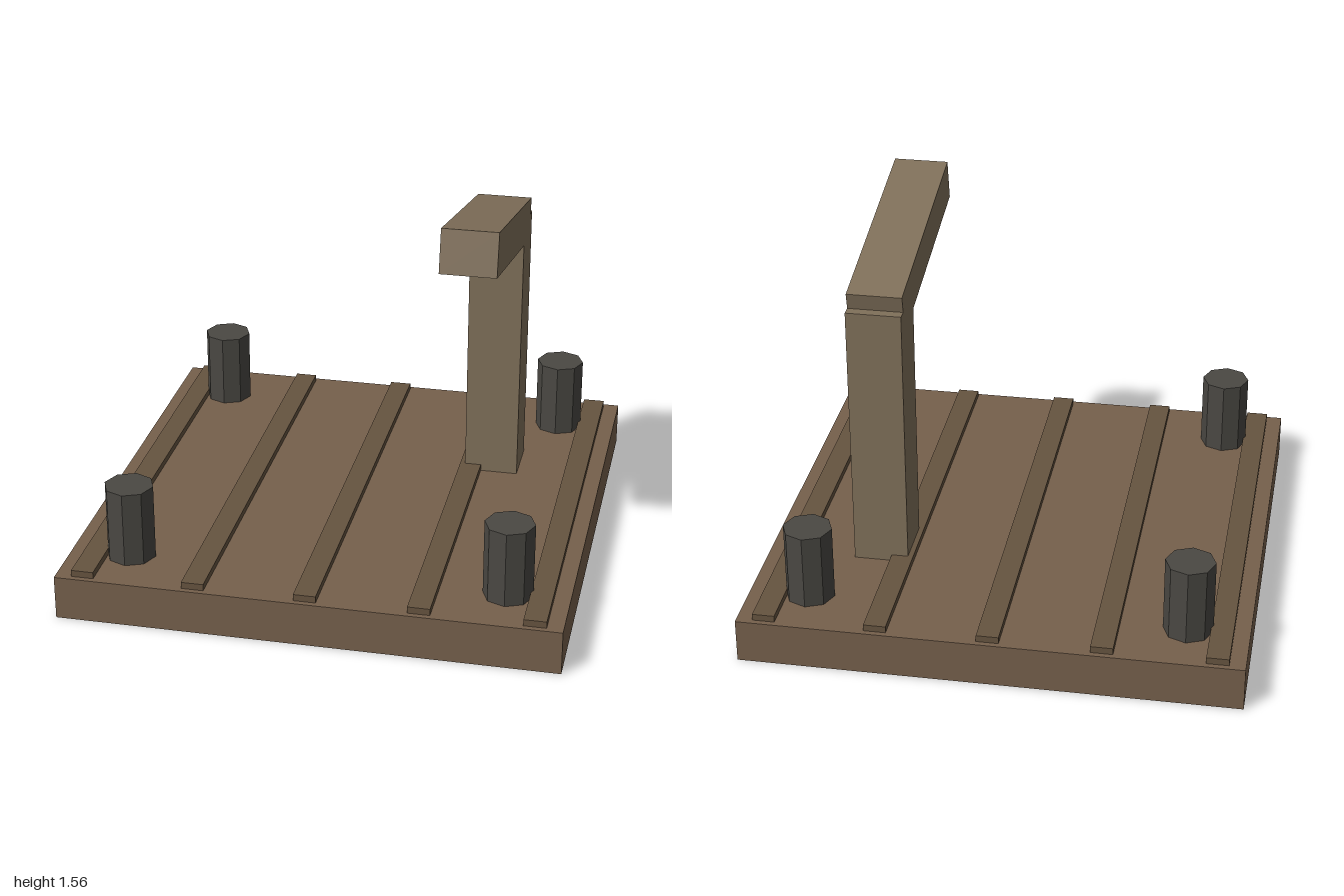
import * as THREE from 'three';

const mat = (color) => new THREE.MeshStandardMaterial({ color, flatShading: true });

export function createModel() {
  const model = new THREE.Group();
  const deckMat = mat(0x76604c);
  const slatMat = mat(0x665440);
  const timberMat = mat(0x80705a);
  const bollardMat = mat(0x4a4843);

  const add = (name, geometry, material, x, y, z) => {
    const mesh = new THREE.Mesh(geometry, material);
    mesh.name = name;
    mesh.position.set(x, y, z);
    model.add(mesh);
    return mesh;
  };

  // Square deck
  add('deck', new THREE.BoxGeometry(2, 0.18, 2), deckMat, 0, 0.09, 0);

  // Raised slats running front to back
  const slatGeo = new THREE.BoxGeometry(0.089, 0.04, 1.956);
  for (let i = -2; i <= 2; i++) {
    add('slat', slatGeo, slatMat, i * 0.4455, 0.187, 0);
  }

  // Eight-sided bollards at the corners
  const bollardGeo = new THREE.CylinderGeometry(0.099, 0.099, 0.32, 8);
  for (const x of [-0.756, 0.756]) {
    for (const z of [-0.756, 0.756]) {
      add('bollard', bollardGeo, bollardMat, x, 0.331, z);
    }
  }

  // Crane post and its tilted arm
  add('cranePost', new THREE.BoxGeometry(0.222, 1.125, 0.222), timberMat, 0.533, 0.7325, -0.354);
  const arm = add('craneArm', new THREE.BoxGeometry(0.222, 0.175, 0.93), timberMat, 0.533, 1.374, 0.036);
  arm.rotation.x = -0.21;

  return model;
}
